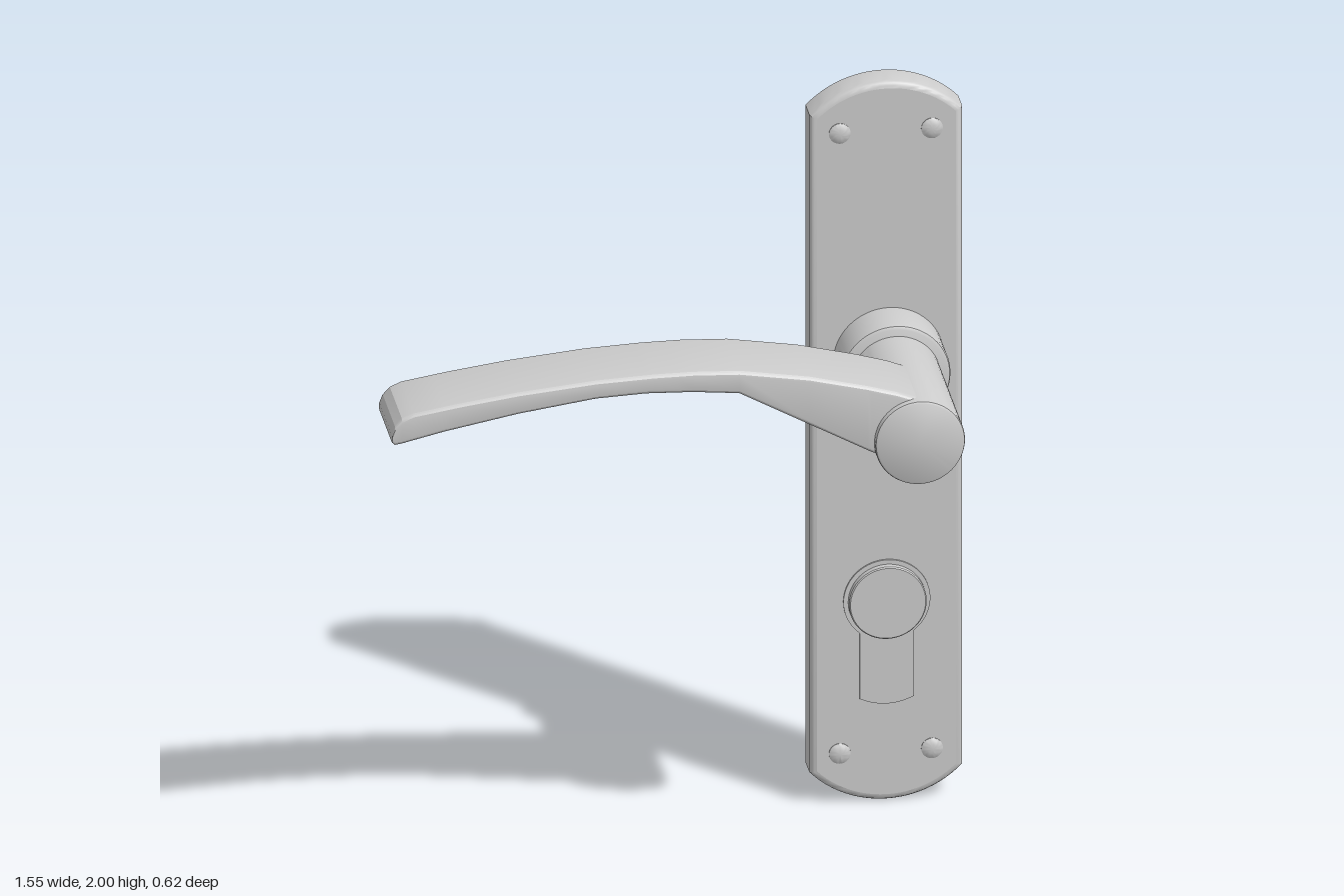
import * as THREE from 'three';
import { toCreasedNormals } from 'three/addons/utils/BufferGeometryUtils.js';

const CX = 0.578;        // centre line of the plate
const FACE = -0.23;      // front of the plate
const BACK = -0.31;

const solid = new THREE.MeshStandardMaterial({ color: 0xcccccc });
const sheet = new THREE.MeshStandardMaterial({ color: 0xcccccc, side: THREE.DoubleSide });

function add(parent, name, geometry, material = solid) {
  const mesh = new THREE.Mesh(geometry, material);
  mesh.name = name;
  parent.add(mesh);
  return mesh;
}

// Skin closed rings of equal length, optionally capping both ends
function loft(rings, capped = false, crease = 0.6) {
  const pos = [], index = [], n = rings[0].length;
  rings.forEach(r => r.forEach(p => pos.push(p.x, p.y, p.z)));
  for (let i = 0; i < rings.length - 1; i++) {
    for (let j = 0; j < n; j++) {
      const k = (j + 1) % n, a = i * n, b = a + n;
      index.push(a + j, b + j, a + k, b + j, b + k, a + k);
    }
  }
  if (capped) {
    const e = (rings.length - 1) * n;
    for (let j = 1; j < n - 1; j++) index.push(0, j, j + 1, e, e + j + 1, e + j);
  }
  const g = new THREE.BufferGeometry();
  g.setAttribute('position', new THREE.Float32BufferAttribute(pos, 3));
  g.setIndex(index);
  return toCreasedNormals(g, crease);
}

// Turned part along z from [radius, z] pairs
function turned(profile, x, y, segments = 64) {
  const g = new THREE.LatheGeometry(profile.map(p => new THREE.Vector2(...p)), segments);
  return toCreasedNormals(g.rotateX(Math.PI / 2).translate(x, y, 0), 0.6);
}

// Plate outline: straight sides with an arc at each end
function plateOutline(inset) {
  const w = 0.197 - inset, r = 0.271 - inset, a = Math.asin(w / r), pts = [];
  for (const [cy, mid] of [[1.729, Math.PI / 2], [0.274, -Math.PI / 2]]) {
    for (let i = 0; i <= 24; i++) {
      const t = mid - a + 2 * a * i / 24;
      pts.push(new THREE.Vector2(CX + r * Math.cos(t), cy + r * Math.sin(t)));
    }
  }
  return pts;
}

// Round hole with a slot running down from it
function keyholePoints() {
  const x = CX, y = 0.562, r = 0.112, w = 0.07, a = Math.asin(w / r);
  const s = new THREE.Shape();
  s.absarc(x, y, r, -Math.PI / 2 + a, 1.5 * Math.PI - a, false);
  s.lineTo(x - w, 0.292);
  s.quadraticCurveTo(x, 0.258, x + w, 0.292);
  return s.getPoints(32);
}

const atZ = (pts, z) => pts.map(p => new THREE.Vector3(p.x, p.y, z));

function linear(points, x) {
  for (let i = 1; i < points.length; i++) {
    const [x0, y0] = points[i - 1], [x1, y1] = points[i];
    if (x <= x1) return y0 + (y1 - y0) * (x - x0) / (x1 - x0);
  }
  return points[points.length - 1][1];
}

// Lever: curved blade whose underside corner is skewed from front to rear
function leverGeometry() {
  const top = [[-0.776, 1.328], [-0.768, 1.352], [-0.75, 1.372], [-0.72, 1.385], [-0.6, 1.405], [-0.45, 1.426],
    [-0.25, 1.446], [-0.1, 1.453], [0, 1.454], [0.12, 1.449], [0.3, 1.421], [0.45, 1.385], [0.53, 1.362], [0.6, 1.335]];
  const underside = [[-0.776, 1.308], [-0.768, 1.299], [-0.75, 1.302], [-0.64, 1.328], [-0.45, 1.365], [-0.25, 1.394]];
  const rear = [...underside, [-0.15, 1.4], [-0.04, 1.4], [0.46, 1.188], [0.6, 1.14]];
  const front = [...underside, [-0.12, 1.4], [0, 1.396], [0.12, 1.385], [0.46, 1.2], [0.6, 1.14]];
  const stations = [...new Set([...top, ...rear, ...front].map(p => p[0]))].sort((a, b) => a - b);
  const zr = 0.067, zf = 0.292;
  const rings = stations.map(x => {
    const t = linear(top, x), bf = linear(front, x), br = linear(rear, x);
    const r = Math.min(0.014, (t - bf) * 0.4), ring = [];
    // centre of each corner fillet and its starting angle
    const corners = [[zf - r, t - r, 0], [zr + r, t - r, 1], [zr + r, br + r, 2], [zf - r, bf + r, 3]];
    for (const [z, y, q] of corners) {
      for (let i = 0; i <= 4; i++) {
        const a = (q + i / 4) * Math.PI / 2;
        ring.push(new THREE.Vector3(x, y + r * Math.sin(a), z + r * Math.cos(a)));
      }
    }
    return ring;
  });
  return loft(rings, true, 0.38);
}

export function createModel() {
  const model = new THREE.Group();
  model.name = 'doorHandle';

  // Hollow back plate: rounded rim and pierced face
  const plate = new THREE.Group();
  plate.name = 'backPlate';
  model.add(plate);
  const rim = [];
  for (let i = 0; i <= 4; i++) {
    const a = i / 4 * Math.PI / 2, r = 0.018;
    rim.push(atZ(plateOutline(r * (1 - Math.sin(a))), FACE - r * (1 - Math.cos(a))));
  }
  rim.push(atZ(plateOutline(0), BACK));
  add(plate, 'plateRim', loft(rim), sheet);
  const face = new THREE.Shape(plateOutline(0.018));
  const keyhole = keyholePoints();
  face.holes.push(new THREE.Path(keyhole));
  add(plate, 'plateFace', new THREE.ShapeGeometry(face).translate(0, 0, FACE), sheet);

  // Lock cylinder cover: raised keyhole panel with a round cap, open behind
  const cover = new THREE.Group();
  cover.name = 'lockCover';
  model.add(cover);
  const panel = new THREE.Shape(keyhole);
  panel.holes.push(new THREE.Path().absarc(CX, 0.562, 0.1, 0, Math.PI * 2));
  add(cover, 'coverPanel', new THREE.ShapeGeometry(panel, 32).translate(0, 0, FACE + 0.005), sheet);
  add(cover, 'coverLip', loft([atZ(keyhole, FACE + 0.005), atZ(keyhole, FACE)]), sheet);
  add(cover, 'coverCap', turned([[0.1, -0.225], [0.1, -0.208], [0.097, -0.205], [0, -0.205]], CX, 0.562), sheet);

  // Domed screw heads
  for (const x of [0.457, 0.695]) {
    for (const y of [0.142, 1.865]) {
      add(model, 'screwHead', turned([[0, FACE - 0.004], [0.028, FACE - 0.004], [0.028, FACE + 0.002],
        [0.022, FACE + 0.006], [0.012, FACE + 0.009], [0, FACE + 0.01]], x, y, 24));
    }
  }

  // Collar and spindle
  add(model, 'collar', turned([[0, FACE - 0.002], [0.143, FACE - 0.002], [0.143, -0.122], [0.14, -0.114],
    [0.132, -0.11], [0, -0.11]], 0.583, 1.23));
  add(model, 'spindle', turned([[0, -0.12], [0.116, -0.12], [0.116, 0.302], [0.114, 0.308],
    [0.109, 0.311], [0, 0.311]], 0.583, 1.228));

  add(model, 'lever', leverGeometry());
  return model;
}
